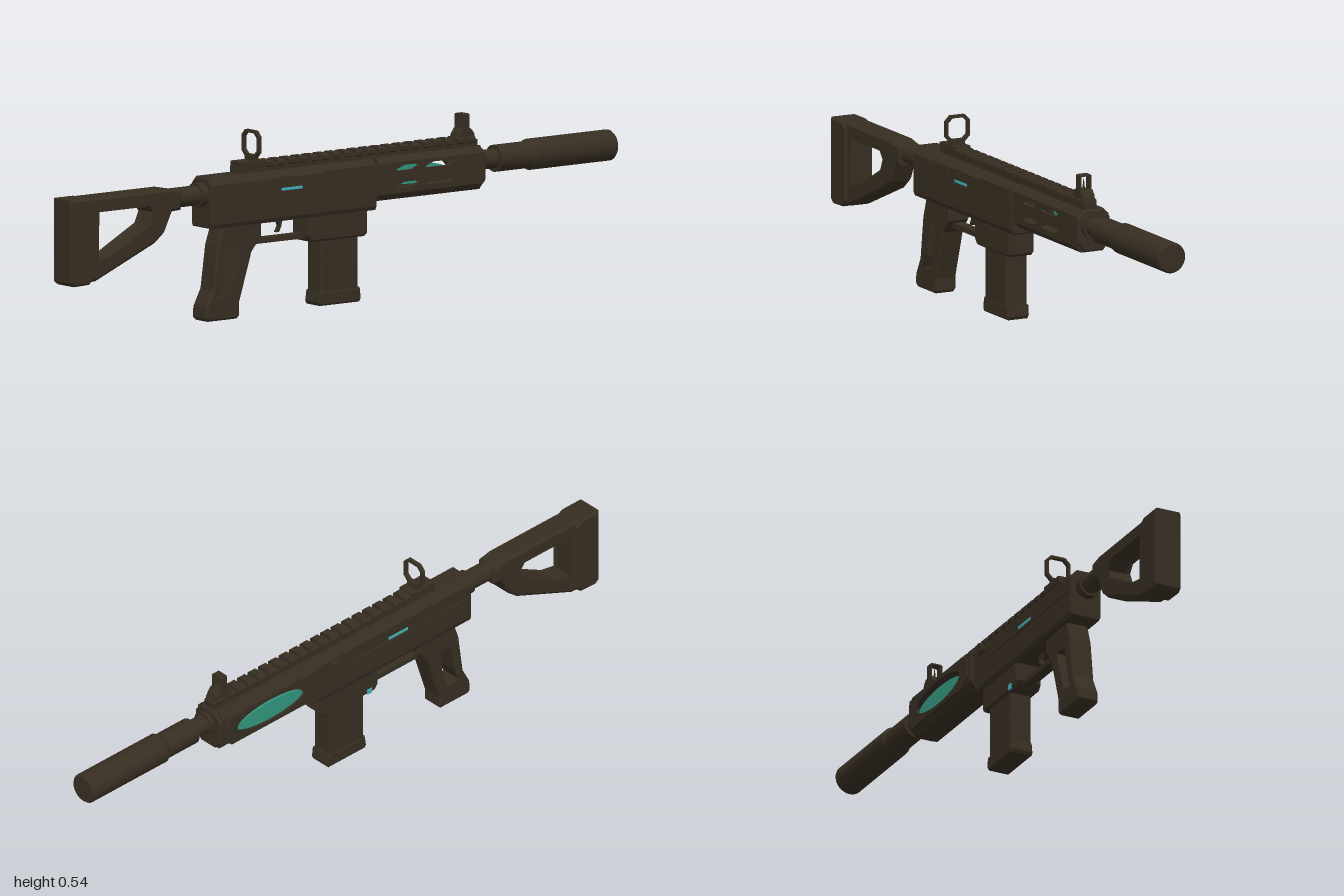
import * as THREE from 'three';

const AZ = 0.007; // depth of the bore axis
const AY = 0.371; // height of the bore axis

export function createModel() {
  const root = new THREE.Group();
  root.name = 'rifle';
  const mat = (name, color) => {
    const m = new THREE.MeshStandardMaterial({ color, side: THREE.DoubleSide });
    m.name = name;
    return m;
  };
  const brown = mat('dark brown', 0x372e22);
  const teal = mat('teal', 0x339680);
  const cyan = mat('cyan', 0x45b0bc);

  const add = (name, geo, m = brown) => {
    const mesh = new THREE.Mesh(geo, m);
    mesh.name = name;
    root.add(mesh);
    return mesh;
  };
  // Box given by its limits
  const box = (name, x0, x1, y0, y1, z0, z1, m) => {
    const g = new THREE.BoxGeometry(x1 - x0, y1 - y0, z1 - z0);
    g.translate((x0 + x1) / 2, (y0 + y1) / 2, (z0 + z1) / 2);
    return add(name, g, m);
  };
  const toShape = (pts, holes = []) => {
    const s = new THREE.Shape(pts.map(p => new THREE.Vector2(...p)));
    holes.forEach(h => s.holes.push(new THREE.Path(h.map(p => new THREE.Vector2(...p)))));
    return s;
  };
  const extrude = (shape, depth, b) => new THREE.ExtrudeGeometry(shape, {
    depth: depth - 2 * b, bevelEnabled: b > 0, bevelSize: b, bevelThickness: b,
    bevelOffset: -b, bevelSegments: 1,
  }).translate(0, 0, b);
  // Side outline (x, y) pulled through z
  const side = (name, pts, holes, z0, z1, b = 0, m = brown) =>
    add(name, extrude(toShape(pts, holes), z1 - z0, b).translate(0, 0, z0), m);
  // Cross-section (z, y) pulled along x
  const along = (name, pts, x0, x1, holes = [], b = 0) => {
    const flip = l => l.map(([z, y]) => [-z, y]);
    const g = extrude(toShape(flip(pts), holes.map(flip)), x1 - x0, b);
    return add(name, g.rotateY(Math.PI / 2).translate(x0, 0, 0));
  };
  // Rectangle with cut corners
  const octagon = (cx, cy, w, h, c) => [
    [cx - w + c, cy - h], [cx + w - c, cy - h], [cx + w, cy - h + c], [cx + w, cy + h - c],
    [cx + w - c, cy + h], [cx - w + c, cy + h], [cx - w, cy + h - c], [cx - w, cy - h + c]];
  const ellipse = (cx, cy, rx, ry, n = 32) => Array.from({ length: n }, (_, i) => {
    const a = i / n * Math.PI * 2;
    return [cx + rx * Math.cos(a), cy + ry * Math.sin(a)];
  });
  const tube = (name, x0, x1, r0, r1 = r0, y = AY) => {
    const g = new THREE.CylinderGeometry(r1, r0, x1 - x0, 32);
    return add(name, g.rotateZ(-Math.PI / 2).translate((x0 + x1) / 2, y, AZ));
  };

  // Shoulder stock with its opening
  side('stock', [
    [-0.96, 0.4], [-0.64, 0.4], [-0.59, 0.39], [-0.59, 0.335], [-0.622, 0.333], [-0.65, 0.275],
    [-0.685, 0.247], [-0.9, 0.157], [-0.96, 0.152]],
  [[[-0.9, 0.365], [-0.705, 0.365], [-0.682, 0.335], [-0.7, 0.295], [-0.84, 0.22], [-0.9, 0.21]]],
  AZ - 0.037, AZ + 0.037, 0.008);
  side('buttPad', [[-1, 0.4], [-0.93, 0.4], [-0.905, 0.385], [-0.905, 0.17], [-0.93, 0.15], [-0.985, 0.148], [-1, 0.16]],
    [], AZ - 0.043, AZ + 0.043, 0.006);
  tube('bufferTube', -0.62, -0.48, 0.029, 0.029, 0.366);
  tube('bufferCollar', -0.515, -0.485, 0.036, 0.036, 0.366);

  // Receiver
  along('receiver', [[-0.038, 0.27], [0.048, 0.27], [0.054, 0.282], [0.054, 0.396], [0.034, 0.417],
    [-0.022, 0.417], [-0.042, 0.396], [-0.042, 0.282]], -0.49, 0.115, [], 0.004);
  box('upperRidgeFront', -0.48, 0.0, 0.348, 0.354, 0.05, 0.057);
  box('upperRidgeBack', -0.48, 0.0, 0.348, 0.354, -0.046, -0.04);
  box('portCover', -0.08, 0.1, 0.365, 0.402, 0.05, 0.057);
  box('rearPanel', -0.47, -0.27, 0.367, 0.392, 0.05, 0.057);
  // Coloured strip showing on both flanks
  box('boltMarker', -0.235, -0.16, 0.359, 0.367, -0.0445, 0.0548, cyan);
  [-0.42, -0.22, -0.02].forEach(x => {
    const g = new THREE.CylinderGeometry(0.008, 0.008, 0.1, 12);
    add('receiverPin', g.rotateX(Math.PI / 2).translate(x, 0.3, AZ));
  });
  box('selector', -0.235, -0.205, 0.377, 0.4, 0.05, 0.06);

  // Charging handle on the back side
  add('chargingHandle', new THREE.CylinderGeometry(0.009, 0.009, 0.02, 12)
    .rotateX(Math.PI / 2).translate(0.055, 0.383, -0.047));
  add('chargingKnob', new THREE.CylinderGeometry(0.018, 0.018, 0.008, 16)
    .rotateX(Math.PI / 2).translate(0.055, 0.383, -0.057));

  // Handguard: caps, slotted front wall, back wall with oval window
  along('handguardTop', [[-0.053, 0.398], [0.055, 0.398], [0.037, 0.418], [-0.035, 0.418]], 0.12, 0.5);
  along('handguardBottom', [[-0.034, 0.293], [0.036, 0.293], [0.055, 0.316], [-0.053, 0.316]], 0.12, 0.5);
  const slot = (x0, x1, y) => [[x0, y - 0.003], [x0 + 0.03, y + 0.008], [x1 - 0.015, y + 0.008],
    [x1, y + 0.003], [x1 - 0.025, y - 0.008], [x0 + 0.012, y - 0.008]];
  const slots = [];
  [0.384, 0.335].forEach(y => slots.push(slot(0.182, 0.268, y), slot(0.288, 0.395, y)));
  const wall = [[0.12, 0.312], [0.5, 0.312], [0.5, 0.402], [0.12, 0.402]];
  side('handguardFront', wall, slots, 0.044, 0.055);
  side('handguardBack', wall, [ellipse(0.315, 0.354, 0.135, 0.037)], -0.053, -0.043);
  side('windowFrame', octagon(0.315, 0.354, 0.18, 0.048, 0.022),
    [ellipse(0.315, 0.354, 0.135, 0.037)], -0.058, -0.05);
  side('windowPanel', ellipse(0.315, 0.346, 0.13, 0.029), [], -0.05, -0.042, 0, teal);
  along('handguardEnd', octagon(AZ - 0.006, 0.357, 0.052, 0.061, 0.024), 0.49, 0.512, [], 0.004);
  along('handguardJoint', octagon(AZ - 0.004, 0.35, 0.045, 0.06, 0.02), 0.11, 0.125);

  // Barrel and suppressor
  tube('barrel', 0.5, 0.59, 0.028);
  tube('barrelNut', 0.508, 0.525, 0.036);
  tube('suppressorNeck', 0.575, 0.69, 0.039);
  tube('suppressorTaper', 0.69, 0.7, 0.039, 0.045);
  tube('suppressor', 0.7, 0.992, 0.045);
  tube('suppressorTip', 0.992, 0.998, 0.045, 0.04);
  tube('muzzleRing', 0.998, 1, 0.016);

  // Top rail with teeth
  box('railBase', -0.37, 0.5, 0.412, 0.437, AZ - 0.021, AZ + 0.021);
  for (let i = 0; i < 21; i++) {
    const x = -0.355 + i * 0.041;
    along('railTooth', octagon(AZ, 0.437, 0.025, 0.01, 0.005), x, x + 0.025);
  }

  // Rear sight ring
  box('rearSightBase', -0.365, -0.275, 0.43, 0.45, AZ - 0.026, AZ + 0.026);
  along('rearSightRing', octagon(AZ, 0.498, 0.039, 0.039, 0.016), -0.314, -0.302,
    [octagon(AZ, 0.498, 0.031, 0.031, 0.013)]);
  box('rearSightFoot', -0.318, -0.298, 0.445, 0.463, AZ - 0.02, AZ + 0.02);

  // Front sight with frame and post
  side('frontSightBase', [[0.43, 0.44], [0.492, 0.44], [0.488, 0.456], [0.476, 0.47], [0.445, 0.47], [0.435, 0.456]],
    [], AZ - 0.02, AZ + 0.02);
  along('frontSightFrame', octagon(AZ, 0.488, 0.019, 0.025, 0.003), 0.448, 0.472,
    [octagon(AZ, 0.488, 0.014, 0.02, 0.002)]);
  add('frontSightPost', new THREE.CylinderGeometry(0.001, 0.004, 0.03, 8).translate(0.46, 0.485, AZ));

  // Magazine well and magazine
  side('magazineWell', [[-0.13, 0.275], [0.085, 0.275], [0.085, 0.205], [0.075, 0.197], [-0.115, 0.197], [-0.13, 0.215]],
    [], AZ - 0.041, AZ + 0.041, 0.006);
  for (let i = 0; i < 4; i++) {
    const y = 0.208 + i * 0.013;
    box('wellRib', 0.08, 0.089, y, y + 0.006, AZ - 0.03, AZ + 0.03);
  }
  box('magazineReleaseMarker', -0.101, -0.084, 0.2, 0.216, -0.037, -0.03, cyan);
  side('magazine', [[-0.08, 0.03], [0.056, 0.03], [0.056, 0.22], [-0.08, 0.22]], [], AZ - 0.033, AZ + 0.033, 0.005);
  [-1, 1].forEach(s => {
    box('magazineRib', -0.07, 0.046, 0.125, 0.135, AZ + s * 0.033 - 0.002, AZ + s * 0.033 + 0.002);
  });
  side('magazineFoot', [[-0.083, 0.008], [0.06, 0.008], [0.066, 0.018], [0.062, 0.05], [-0.083, 0.05], [-0.088, 0.018]],
    [], AZ - 0.035, AZ + 0.035, 0.004);

  // Skeleton grip
  side('grip', [[-0.435, 0.275], [-0.295, 0.275], [-0.295, 0.23], [-0.33, 0.19], [-0.376, 0.045], [-0.376, 0.008],
    [-0.385, 0], [-0.49, 0], [-0.5, 0.01], [-0.498, 0.04], [-0.472, 0.09], [-0.455, 0.215]],
  [[[-0.425, 0.205], [-0.36, 0.205], [-0.403, 0.06], [-0.463, 0.06], [-0.443, 0.1]]],
  AZ - 0.034, AZ + 0.034, 0.006);

  // Trigger and guard
  box('triggerGuard', -0.305, -0.12, 0.207, 0.222, AZ - 0.016, AZ + 0.016);
  side('trigger', [[-0.222, 0.275], [-0.2, 0.275], [-0.203, 0.25], [-0.212, 0.232], [-0.222, 0.232], [-0.212, 0.25]],
    [], AZ - 0.006, AZ + 0.006);

  return root;
}
